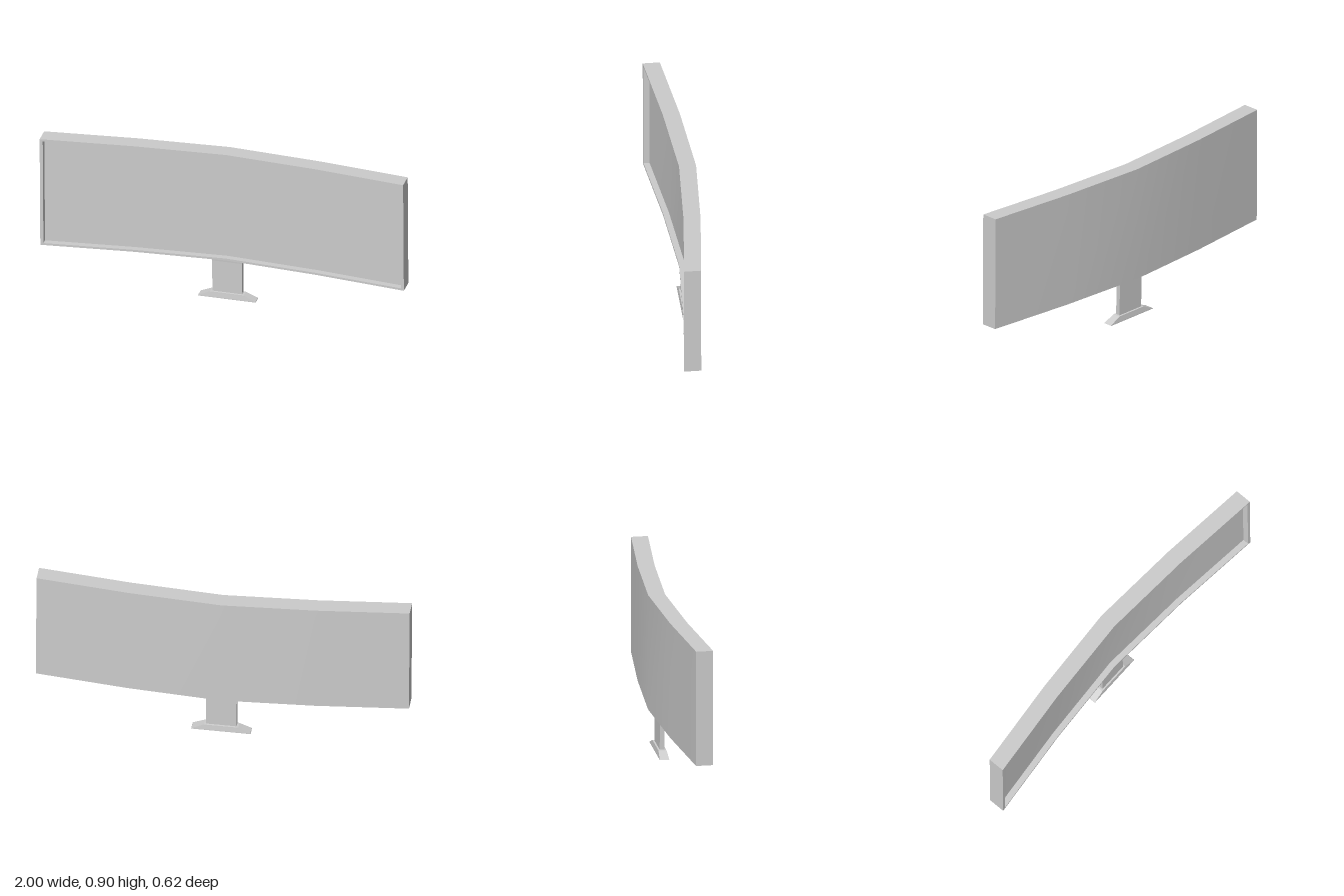
import * as THREE from 'three';

const WIDTH = 2.04, HEIGHT = 0.65, CENTER_Y = 0.566;
const BEZEL_X = 0.017, BEZEL_Y = 0.012, RECESS = 0.035;
const BACK = 0, FRONT = 0.093;
const SEGMENTS = 4;

const grey = new THREE.MeshStandardMaterial({ color: 0xcccccc });
const standMaterial = new THREE.MeshStandardMaterial({
  color: 0xcccccc, flatShading: true, side: THREE.DoubleSide,
});

// Gentle four-facet curve of the display: the ends come forward
const NODES = [-0.131, -0.099, -0.046];
function curveZ(x) {
  const t = Math.abs(x) / (WIDTH / 4);
  const i = Math.min(1, Math.floor(t));
  return THREE.MathUtils.lerp(NODES[i], NODES[i + 1], t - i);
}

function bend(geometry) {
  const p = geometry.attributes.position;
  for (let i = 0; i < p.count; i++) p.setZ(i, p.getZ(i) + curveZ(p.getX(i)));
  geometry.computeVertexNormals();
  return geometry;
}

// Bent box spanning z0..z1 measured forward from the curved back
function bentBox(name, w, h, z0, z1, x, y, segments) {
  const g = new THREE.BoxGeometry(w, h, z1 - z0, segments, 1, 1);
  g.translate(x, y, (z0 + z1) / 2);
  const mesh = new THREE.Mesh(bend(g), grey);
  mesh.name = name;
  return mesh;
}

// Open rectangular tube through levels of [y, width, depth]
function loft(levels) {
  const pos = [], index = [];
  for (const [y, w, d] of levels) {
    for (const [sx, sz] of [[-1, 1], [1, 1], [1, -1], [-1, -1]]) pos.push(sx * w / 2, y, sz * d / 2);
  }
  for (let l = 0; l < levels.length - 1; l++) {
    for (let k = 0; k < 4; k++) {
      const a = l * 4 + k, b = l * 4 + (k + 1) % 4;
      index.push(a, b, b + 4, a, b + 4, a + 4);
    }
  }
  const g = new THREE.BufferGeometry();
  g.setAttribute('position', new THREE.Float32BufferAttribute(pos, 3));
  g.setIndex(index);
  g.computeVertexNormals();
  return g;
}

export function createModel() {
  const model = new THREE.Group();
  model.name = 'curvedMonitor';

  // Display: solid back, recessed screen and a thin raised bezel
  const display = new THREE.Group();
  display.name = 'display';
  display.position.y = CENTER_Y;
  const floor = FRONT - RECESS;
  display.add(bentBox('housing', WIDTH, HEIGHT, BACK, floor, 0, 0, SEGMENTS));

  const screenGeometry = new THREE.PlaneGeometry(WIDTH, HEIGHT - 2 * BEZEL_Y, SEGMENTS, 1);
  screenGeometry.translate(0, 0, floor + 0.002);
  const screen = new THREE.Mesh(bend(screenGeometry), grey);
  screen.name = 'screen';
  display.add(screen);

  for (const s of [-1, 1]) {
    display.add(bentBox(s > 0 ? 'topBezel' : 'bottomBezel', WIDTH, BEZEL_Y, floor, FRONT,
      0, s * (HEIGHT - BEZEL_Y) / 2, SEGMENTS));
    display.add(bentBox(s > 0 ? 'leftBezel' : 'rightBezel', BEZEL_X, HEIGHT - 2 * BEZEL_Y, floor, FRONT,
      s * (WIDTH - BEZEL_X) / 2, 0, 1));
  }
  model.add(display);

  // Stand: hollow flared foot, flat neck and widened collar under the display
  const stand = new THREE.Group();
  stand.name = 'stand';
  stand.position.z = -0.068;
  const parts = {
    foot: [[0.002, 0.325, 0.052], [0.006, 0.32, 0.052], [0.027, 0.225, 0.046],
      [0.035, 0.19, 0.044], [0.036, 0.168, 0.026]],
    neck: [[0.036, 0.168, 0.026], [0.222, 0.168, 0.026], [0.245, 0.188, 0.03]],
  };
  for (const [name, levels] of Object.entries(parts)) {
    const mesh = new THREE.Mesh(loft(levels), standMaterial);
    mesh.name = name;
    stand.add(mesh);
  }
  model.add(stand);

  // The whole monitor is turned aside and leans very slightly
  model.rotation.set(0, -0.26, 0.006);
  const root = new THREE.Group();
  root.name = 'monitor';
  root.add(model);
  return root;
}
